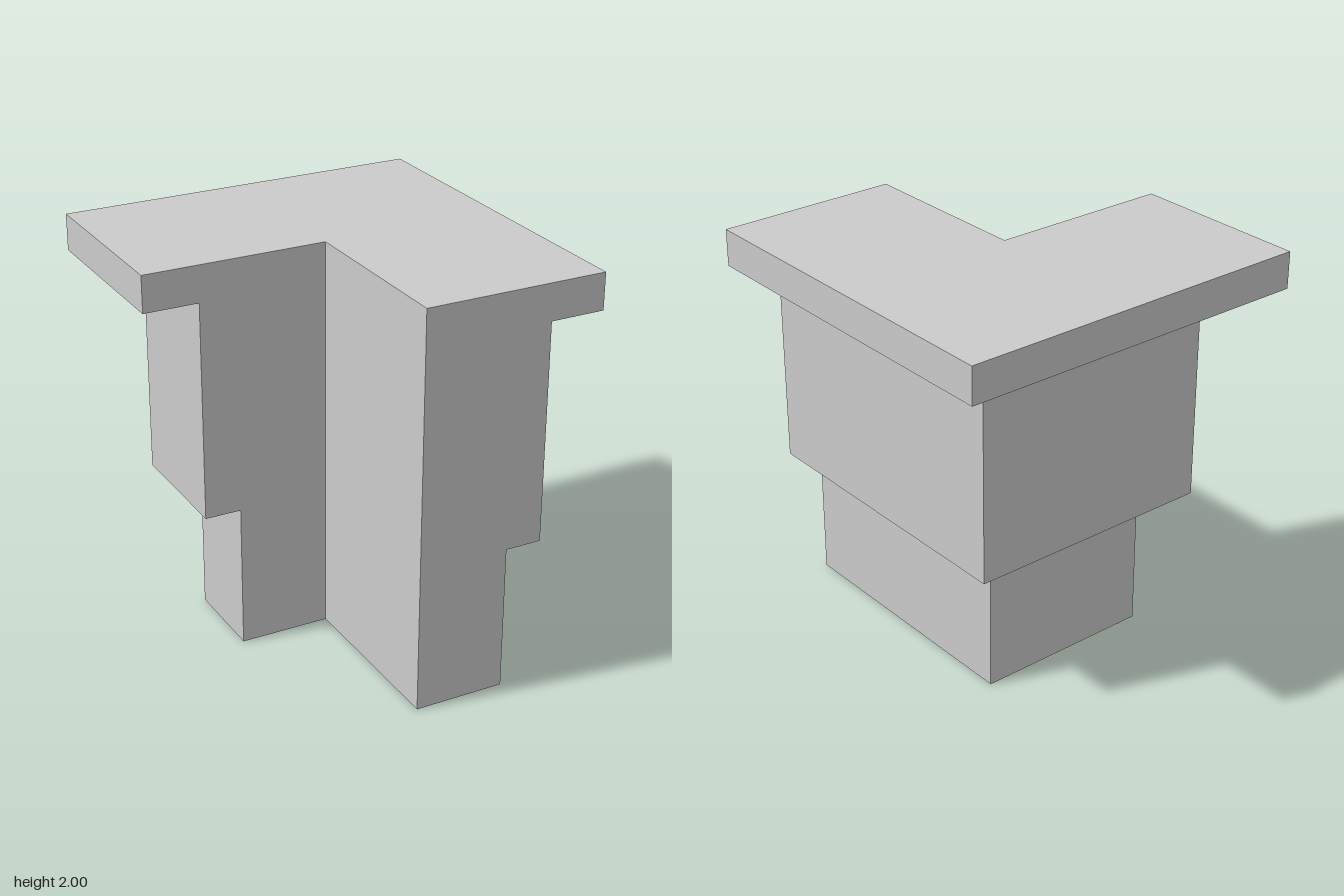
import * as THREE from 'three';

const U = 2 / 11;       // base module of the stepped corner
const REACH = 5 * U;    // front arm ends flush on every tier

// L-shaped plan: inner corner at the origin, outer sides stepping out by h
function cornerTier(name, h, y0, y1, material) {
  const plan = new THREE.Shape([
    [0, 0], [0, -REACH], [h, -REACH], [h, h], [-h, h], [-h, 0],
  ].map(([x, y]) => new THREE.Vector2(x, y)));
  const geometry = new THREE.ExtrudeGeometry(plan, { depth: y1 - y0, bevelEnabled: false });
  geometry.rotateX(-Math.PI / 2);
  const mesh = new THREE.Mesh(geometry, material);
  mesh.name = name;
  mesh.position.y = y0;
  return mesh;
}

export function createModel() {
  const model = new THREE.Group();
  model.name = 'steppedCorner';
  const material = new THREE.MeshStandardMaterial({ color: 0xcccccc, flatShading: true });

  model.add(
    cornerTier('lowerTier', 2.5 * U, 0, 4 * U, material),
    cornerTier('middleTier', 3.5 * U, 4 * U, 10 * U, material),
    cornerTier('topSlab', 5 * U, 10 * U, 11 * U, material),
  );
  return model;
}
